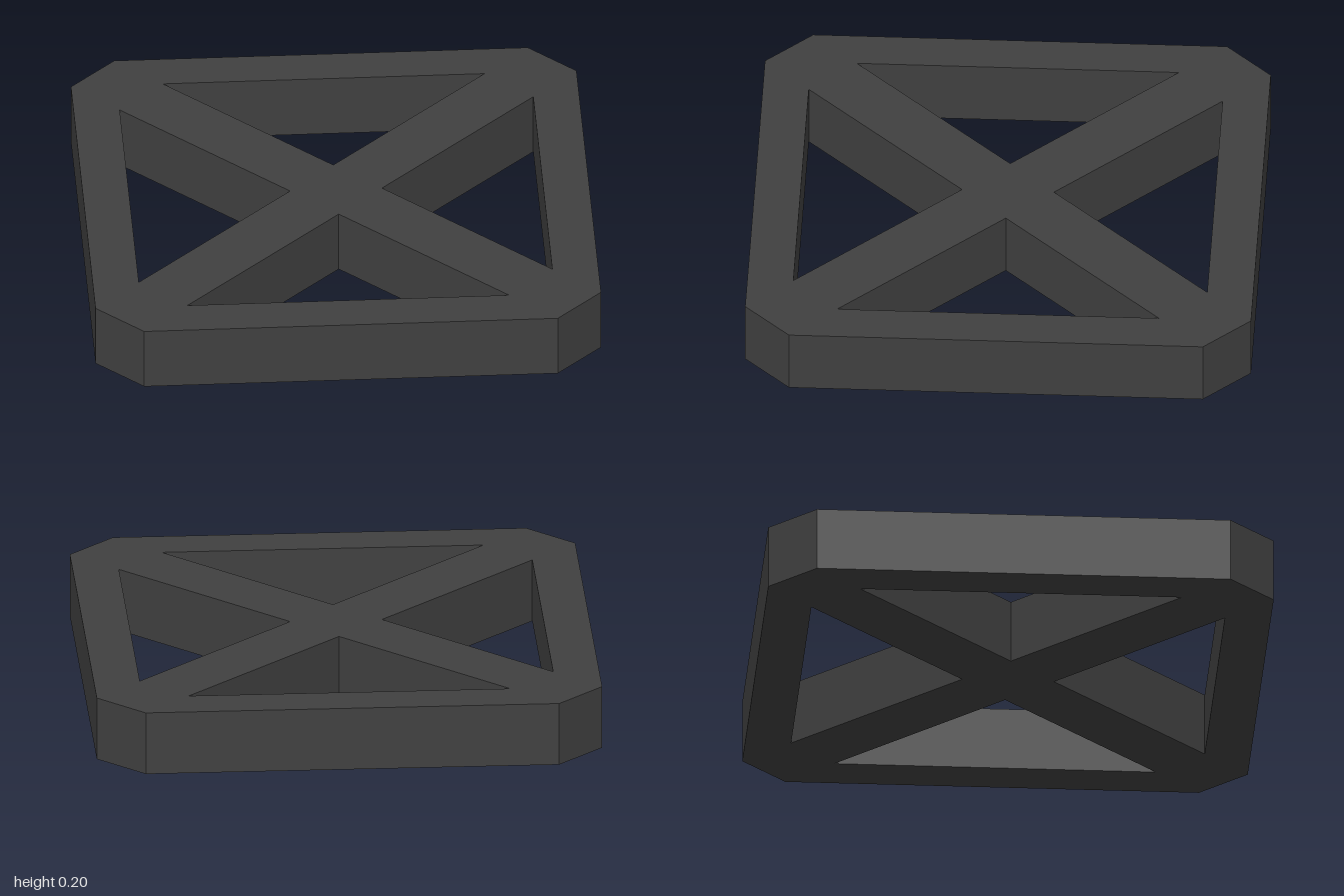
import * as THREE from 'three';

const HEIGHT = 0.2;
const HALF_BAR = 0.1; // half width of the cross bars
const REACH = 1;      // centre to bar end
const HOLE = 0.8;     // centre to the tip of each triangular opening

const polygon = (points) => points.map(([x, y]) => new THREE.Vector2(x, y));

export function createModel() {
  const group = new THREE.Group();
  group.name = 'crossBracedFrame';

  // Diamond outline with blunt corners
  const outline = new THREE.Shape(polygon([
    [REACH, -HALF_BAR], [REACH, HALF_BAR],
    [HALF_BAR, REACH], [-HALF_BAR, REACH],
    [-REACH, HALF_BAR], [-REACH, -HALF_BAR],
    [-HALF_BAR, -REACH], [HALF_BAR, -REACH],
  ]));

  // One triangular opening per quadrant, leaving the cross and the rim
  for (const sx of [1, -1]) {
    for (const sy of [1, -1]) {
      outline.holes.push(new THREE.Path(polygon([
        [sx * HALF_BAR, sy * HALF_BAR],
        [sx * HOLE, sy * HALF_BAR],
        [sx * HALF_BAR, sy * HOLE],
      ])));
    }
  }

  // Lay the slab flat on the ground
  const geometry = new THREE.ExtrudeGeometry(outline, { depth: HEIGHT, bevelEnabled: false });
  geometry.rotateX(-Math.PI / 2);

  const material = new THREE.MeshStandardMaterial({ color: 0x404040 });
  const frame = new THREE.Mesh(geometry, material);
  frame.name = 'frame';
  group.add(frame);
  return group;
}
